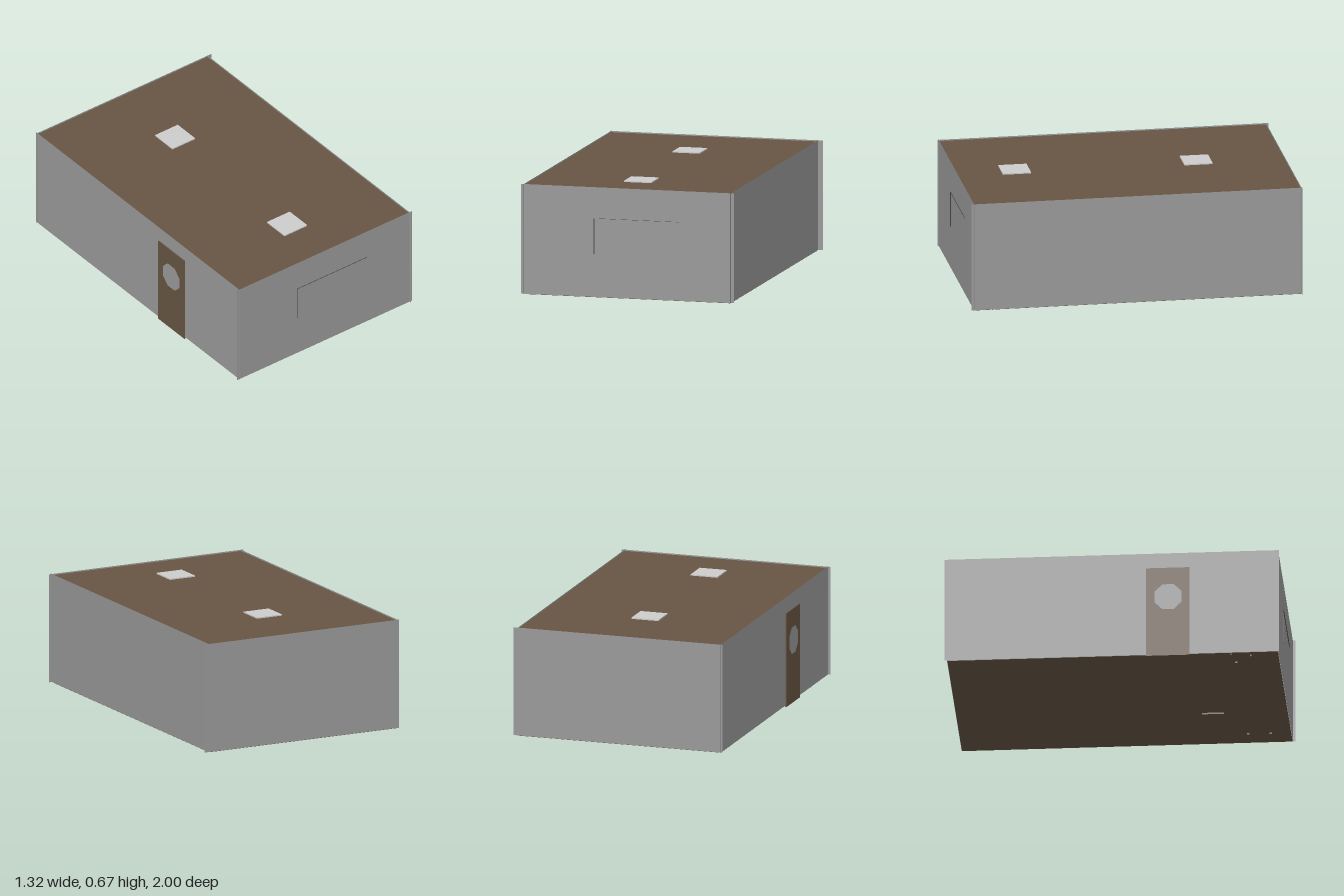
import * as THREE from 'three';

export function createModel() {
  const group = new THREE.Group();
  group.name = 'room';

  const material = (name, color, side = THREE.FrontSide) => {
    const m = new THREE.MeshStandardMaterial({ color, side });
    m.name = name;
    return m;
  };
  const grey = material('wallGrey', 0x999999, THREE.DoubleSide);
  const brown = material('woodBrown', 0x675543);
  const white = material('skylightWhite', 0xcccccc);
  const dark = material('darkTrim', 0x454545);

  const add = (name, geometry, mat, x, y, z) => {
    const mesh = new THREE.Mesh(geometry, mat);
    mesh.name = name;
    mesh.position.set(x, y, z);
    group.add(mesh);
    return mesh;
  };
  // Box given by its minimum and maximum on each axis
  const box = (name, mat, [x0, x1], [y0, y1], [z0, z1]) =>
    add(name, new THREE.BoxGeometry(x1 - x0, y1 - y0, z1 - z0), mat,
      (x0 + x1) / 2, (y0 + y1) / 2, (z0 + z1) / 2);

  // Floor and roof slabs
  box('floor', brown, [-0.64, 0.628], [0.01, 0.016], [-0.983, 0.982]);
  box('roof', brown, [-0.64, 0.628], [0.66, 0.665], [-0.983, 0.982]);

  // Thin walls that cross each other at the corners
  const wallHeight = 0.66, wallY = 0.342;
  add('frontWall', new THREE.PlaneGeometry(1.31, wallHeight), grey, -0.005, wallY, 0.984);
  add('backWall', new THREE.PlaneGeometry(1.31, wallHeight), grey, 0.005, wallY, -0.985).rotation.y = Math.PI;
  add('leftWall', new THREE.PlaneGeometry(1.99, wallHeight), grey, 0.63, wallY, 0.005).rotation.y = Math.PI / 2;
  add('rightWall', new THREE.PlaneGeometry(1.99, wallHeight), grey, -0.642, wallY, -0.005).rotation.y = -Math.PI / 2;

  // Two skylights
  for (const z of [-0.46, 0.632]) {
    box('skylight', white, [-0.1, 0.07], [0.663, 0.672], [z - 0.085, z + 0.085]);
  }

  // Outline of the front window: side edge and narrow top ledge
  box('windowSideEdge', dark, [-0.212, -0.208], [0.27, 0.485], [0.982, 0.987]);
  box('windowTopEdge', dark, [-0.21, 0.31], [0.484, 0.485], [0.982, 0.988]);

  // Door on the right wall with an eight-sided pane
  box('door', brown, [-0.648, -0.64], [0.002, 0.575], [0.2, 0.457]);
  const pane = add('doorPane', new THREE.CircleGeometry(0.088, 8, Math.PI / 8), grey, -0.65, 0.385, 0.33);
  pane.rotation.y = -Math.PI / 2;

  // Small feet below the floor
  const feet = [
    [[0.49, 0.6], [0.855, 0.87]],
    [[0.49, 0.6], [0.72, 0.735]],
    [[0.19, 0.196], [0.475, 0.605]],
    [[-0.63, -0.615], [0.7, 0.707]],
    [[-0.605, -0.59], [0.815, 0.822]],
    [[-0.515, -0.5], [0.72, 0.735]],
  ];
  for (const [xs, zs] of feet) box('foot', brown, xs, [0, 0.012], zs);

  return group;
}
